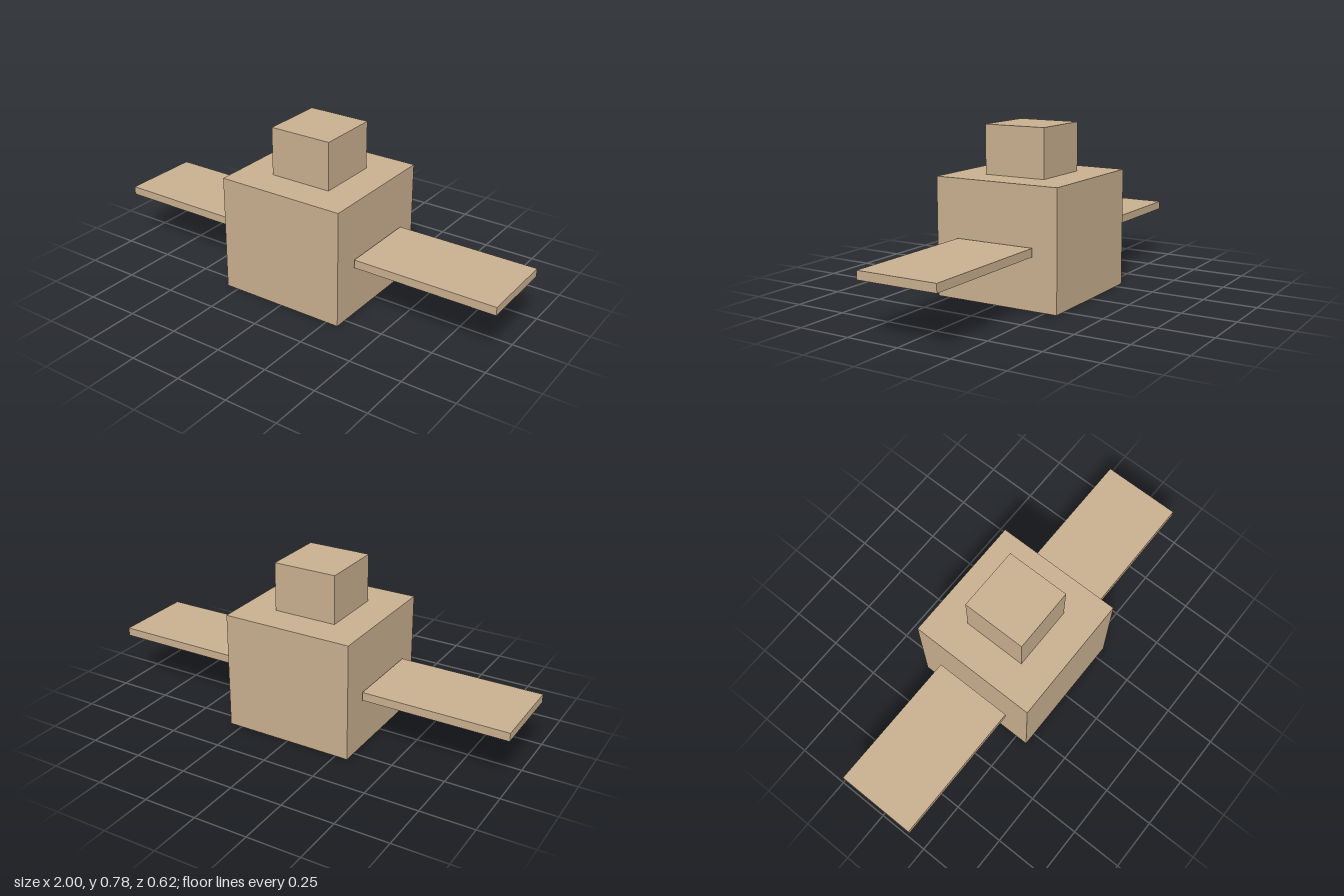
import * as THREE from 'three';

export function createModel() {
  const model = new THREE.Group();
  model.name = 'wingedBoxFigure';
  const tan = new THREE.MeshStandardMaterial({ color: 0xc9af8f });
  tan.name = 'tan';

  // Box standing on height y0, centred on z = 0
  function addBox(name, width, height, depth, x, y0) {
    const mesh = new THREE.Mesh(new THREE.BoxGeometry(width, height, depth), tan);
    mesh.name = name;
    mesh.position.set(x, y0 + height / 2, 0);
    model.add(mesh);
  }

  // Main body and the smaller block on top
  addBox('body', 0.62, 0.552, 0.62, 0, 0);
  addBox('head', 0.304, 0.228, 0.304, 0, 0.552);

  // Flat side panels, with a narrow gap to the body
  for (const [name, side] of [['leftPanel', 1], ['rightPanel', -1]]) {
    addBox(name, 0.682, 0.039, 0.386, side * 0.659, 0.243);
  }
  return model;
}
